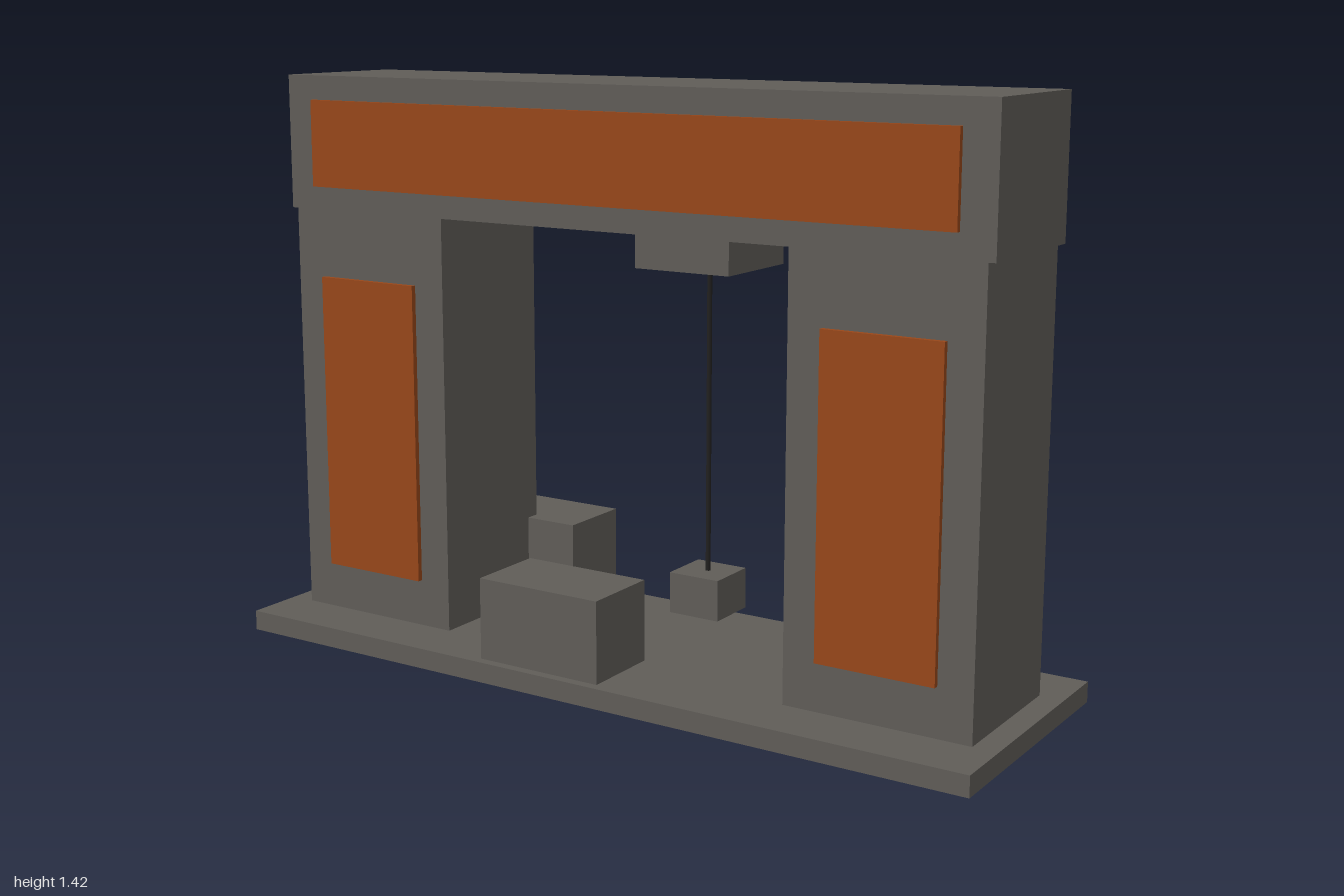
import * as THREE from 'three';

export function createModel() {
  const group = new THREE.Group();
  const paint = (name, color) => {
    const material = new THREE.MeshStandardMaterial({ color });
    material.name = name;
    return material;
  };
  const stone = paint('dark stone', 0x605d58);
  const rust = paint('rust panel', 0x98471a);
  const black = paint('black underside', 0x050505);
  const cable = paint('dark cable', 0x222120);

  // Face order: +x, -x, +y, -y, +z, -z
  const darkBottom = [stone, stone, stone, black, stone, stone];

  // Box given by its extents along each axis
  function box(name, material, [x0, x1], [y0, y1], [z0, z1]) {
    const mesh = new THREE.Mesh(new THREE.BoxGeometry(x1 - x0, y1 - y0, z1 - z0), material);
    mesh.position.set((x0 + x1) / 2, (y0 + y1) / 2, (z0 + z1) / 2);
    mesh.name = name;
    group.add(mesh);
  }

  const depth = [-0.187, 0.187];
  const panelDepth = [0.187, 0.2];

  // Base slab and top beam
  box('base', darkBottom, [-1, 1], [0, 0.05], [-0.333, 0.333]);
  box('beam', stone, [-0.957, 0.957], [1.087, 1.42], depth);
  box('beamPanel', rust, [-0.875, 0.875], [1.145, 1.36], panelDepth);

  // Pillars with front panels, mirrored
  for (const [side, s] of [['left', 1], ['right', -1]]) {
    const span = (a, b) => (s > 0 ? [a, b] : [-b, -a]);
    box(side + 'Pillar', stone, span(0.478, 0.94), [0.05, 1.087], depth);
    box(side + 'PillarPanel', rust, span(0.563, 0.855), [0.168, 0.918], panelDepth);
  }

  // Loose blocks before and behind the opening
  box('frontBlock', darkBottom, [-0.25, 0.083], [0.068, 0.267], [0.15, 0.35]);
  box('backBlock', darkBottom, [-0.668, -0.335], [0.068, 0.267], [-0.35, -0.15]);

  // Hoist under the beam with its hanging weight
  box('hoist', darkBottom, [0.042, 0.292], [1, 1.087], [-0.125, 0.125]);
  box('weight', darkBottom, [0.1, 0.233], [0.168, 0.267], [-0.065, 0.065]);
  const rope = new THREE.Mesh(new THREE.CylinderGeometry(0.006, 0.006, 0.735, 8), cable);
  rope.position.set(0.167, 0.633, 0);
  rope.name = 'rope';
  group.add(rope);

  return group;
}
